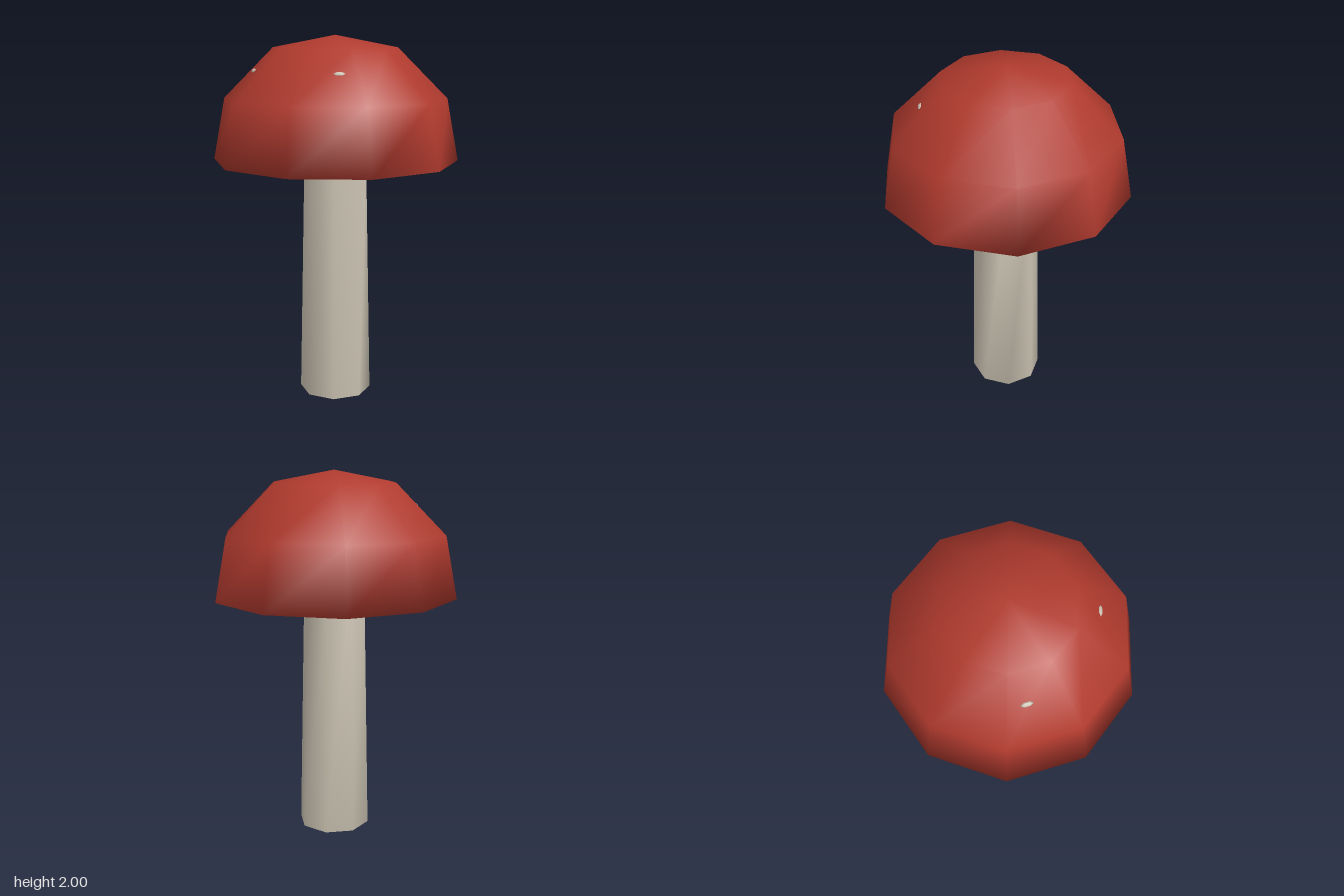
import * as THREE from 'three';

// Closed solid from rings [radius, y], bottom to top, sharing vertices so shading stays smooth.
// A last ring of radius 0 becomes a single apex.
function ringSolid(rings, sides) {
  const pos = [], idx = [];
  const apex = rings[rings.length - 1][0] === 0;
  const full = apex ? rings.slice(0, -1) : rings;
  for (const [r, y] of full) {
    for (let i = 0; i < sides; i++) {
      const a = (i / sides) * Math.PI * 2;
      pos.push(r * Math.cos(a), y, -r * Math.sin(a));
    }
  }
  for (let k = 0; k < full.length - 1; k++) {
    for (let i = 0; i < sides; i++) {
      const j = (i + 1) % sides, lo = k * sides, hi = lo + sides;
      idx.push(lo + i, lo + j, hi + j, lo + i, hi + j, hi + i);
    }
  }
  // flat underside
  for (let i = 1; i < sides - 1; i++) idx.push(0, i + 1, i);
  // apex fan or flat lid
  const top = (full.length - 1) * sides;
  if (apex) {
    pos.push(0, rings[rings.length - 1][1], 0);
    for (let i = 0; i < sides; i++) idx.push(top + i, top + ((i + 1) % sides), top + sides);
  } else {
    for (let i = 1; i < sides - 1; i++) idx.push(top, top + i, top + i + 1);
  }
  const g = new THREE.BufferGeometry();
  g.setAttribute('position', new THREE.Float32BufferAttribute(pos, 3));
  g.setIndex(idx);
  g.computeVertexNormals();
  return g;
}

function addPart(group, name, geometry, color) {
  const mesh = new THREE.Mesh(geometry, new THREE.MeshStandardMaterial({ color }));
  mesh.name = name;
  group.add(mesh);
  return mesh;
}

export function createModel() {
  const group = new THREE.Group();
  group.name = 'mushroom';

  // tapered eight-sided stem
  addPart(group, 'stem', ringSolid([[0.2, 0], [0.17, 1.34]], 8), 0xc8c0b0);

  // ten-sided domed cap with a flat underside
  addPart(group, 'cap', ringSolid([[0.67, 1.33], [0.605, 1.665], [0.335, 1.935], [0, 2]], 10), 0xb03a2e);

  // small pale spots lying on the sloping cap faces
  const spots = [[0.04, 0.43, 0], [-0.427, 0.09, -Math.PI * 0.4]];
  for (const [x, z, turn] of spots) {
    const spot = addPart(group, 'spot', new THREE.SphereGeometry(1, 6, 4), 0xc8c0b0);
    spot.scale.set(0.033, 0.009, 0.014);
    spot.position.set(x, 1.815, z);
    spot.rotation.set(Math.PI / 4, turn, 0, 'YXZ');
  }
  return group;
}
